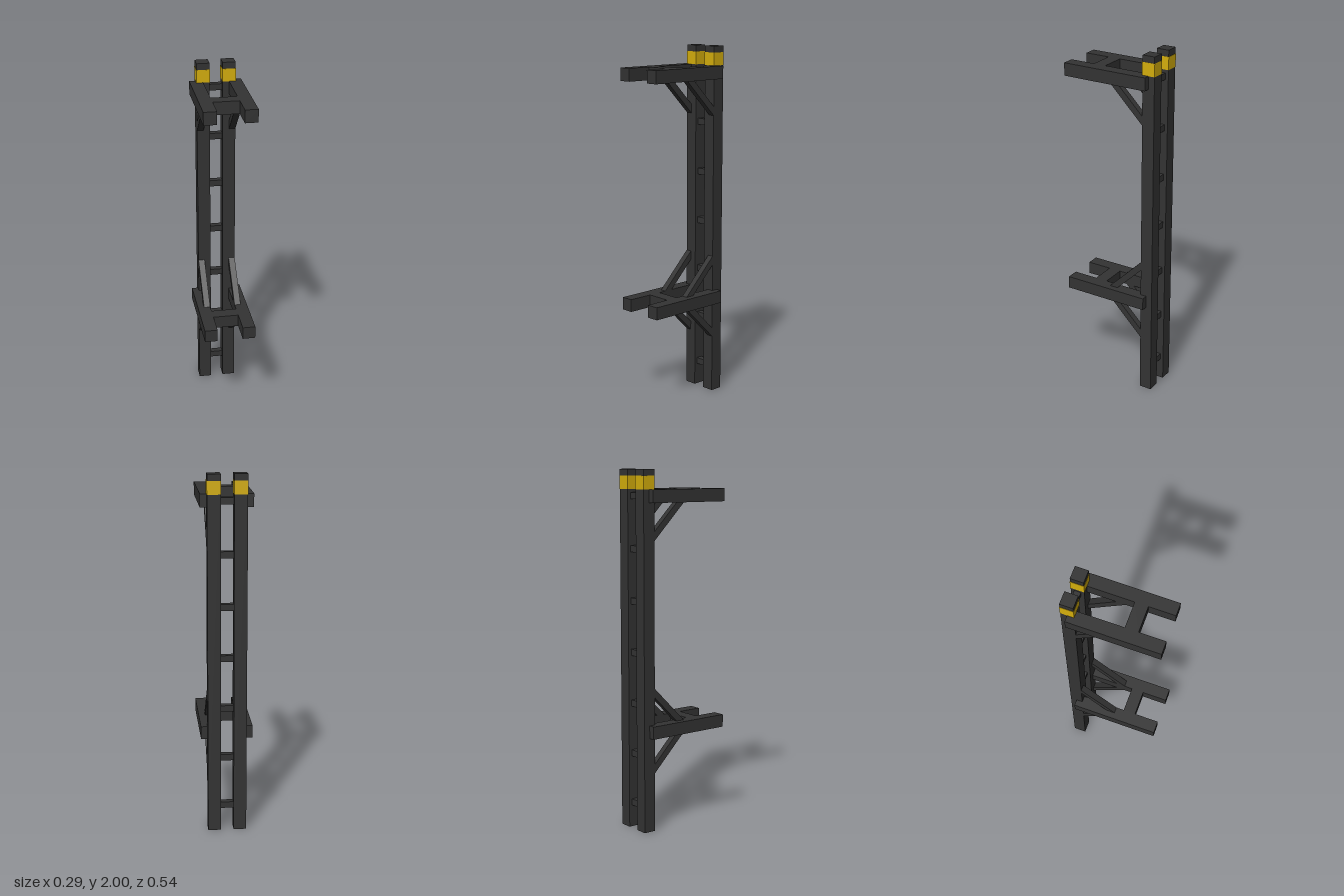
import * as THREE from 'three';

// One unit is the thickness of a beam; every part sits on this module.
const U = 1 / 14;

export function createModel() {
  const model = new THREE.Group();
  model.name = 'ladderRack';

  const steel = new THREE.MeshStandardMaterial({ color: 0x333333 });
  steel.name = 'dark steel';
  const yellow = new THREE.MeshStandardMaterial({ color: 0xd4ae0c });
  yellow.name = 'warning yellow';

  // Box from size and centre, both in beam units
  const box = (name, parent, [w, h, d], [x, y, z], material = steel) => {
    const mesh = new THREE.Mesh(new THREE.BoxGeometry(w * U, h * U, d * U), material);
    mesh.position.set(x * U, y * U, z * U);
    mesh.name = name;
    parent.add(mesh);
    return mesh;
  };

  // Uprights with a painted band near the top
  for (const side of [-1, 1]) {
    box('post', model, [1, 28, 1], [side, 14, -3.25]);
    box('paintedBand', model, [1.04, 1, 1.04], [side, 27, -3.25], yellow);
  }

  // Rungs between the uprights
  for (let y = 2; y <= 26; y += 4) {
    box('rung', model, [1, 0.5, 0.5], [0, y, -3.25]);
  }

  // Forked frame: two arms, a crossbar and diagonal braces (-1 below, 1 above)
  const addFrame = (name, y, braceSides) => {
    const frame = new THREE.Group();
    frame.name = name;
    frame.position.y = y * U;
    model.add(frame);
    box('crossbar', frame, [2, 1, 1], [0, 0, 1.25]);
    for (const side of [-1, 1]) {
      box('arm', frame, [1, 1, 7], [side * 1.5, 0, 0.25]);
      for (const dir of braceSides) {
        const brace = box('brace', frame, [0.5, 0.5, 3 * Math.SQRT2], [side * 1.25, dir * 1.75, -1.5]);
        brace.rotation.x = dir * Math.PI / 4;
      }
    }
  };
  addFrame('lowerFrame', 8, [-1, 1]);
  addFrame('upperFrame', 26, [-1]);

  return model;
}
